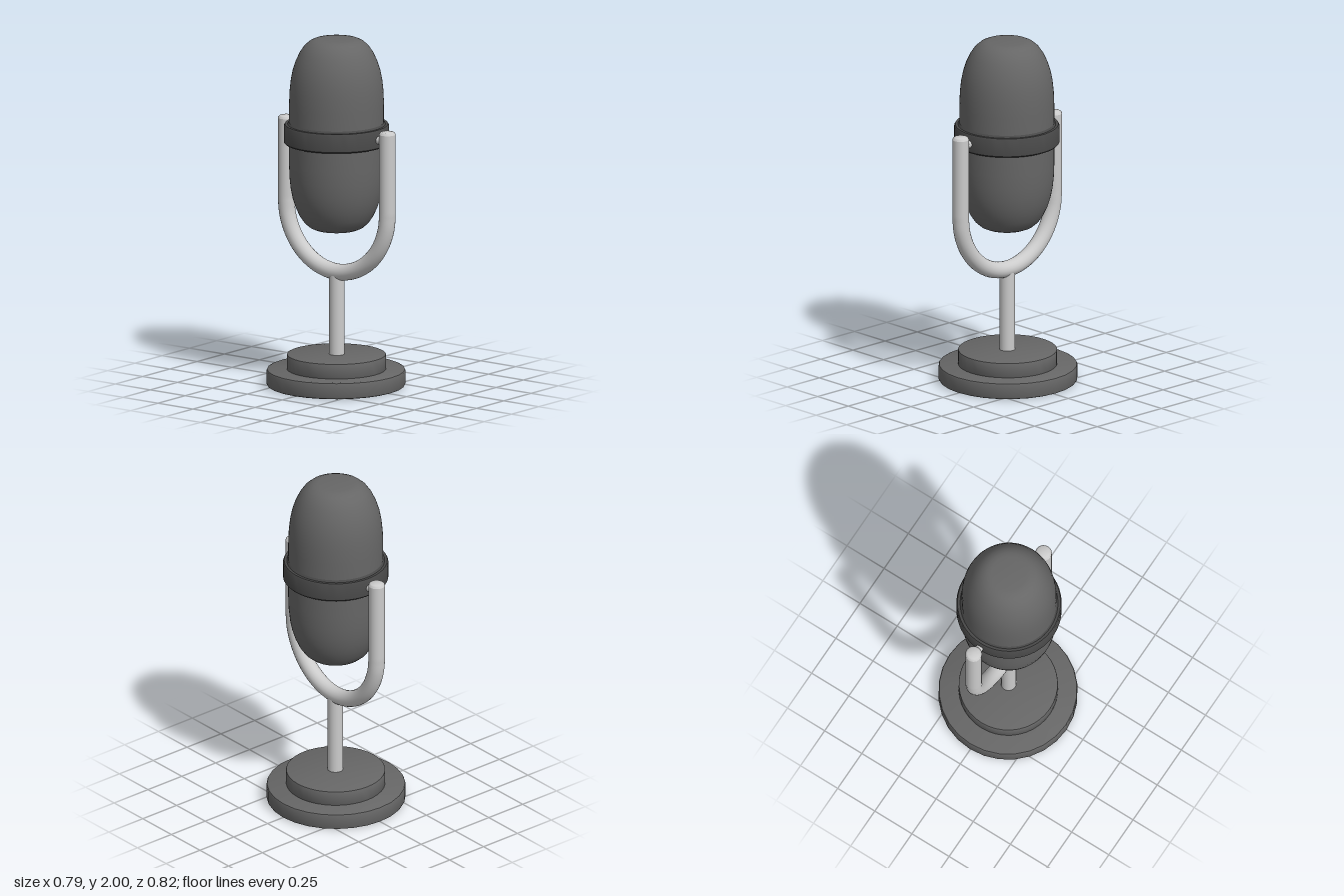
import * as THREE from 'three';
import { toCreasedNormals } from 'three/addons/utils/BufferGeometryUtils.js';

const grey = new THREE.MeshStandardMaterial({ color: 0xcccccc });
const dark = new THREE.MeshStandardMaterial({ color: 0x666666 });
const darker = new THREE.MeshStandardMaterial({ color: 0x484848 });

function add(group, name, geometry, material) {
  const mesh = new THREE.Mesh(geometry, material);
  mesh.name = name;
  group.add(mesh);
  return mesh;
}

// Turned part from [radius, y] pairs listed bottom to top
function turned(points, sides, crease = 0.6) {
  const lathe = new THREE.LatheGeometry(points.map(([r, y]) => new THREE.Vector2(r, y)), sides);
  return toCreasedNormals(lathe, crease);
}

// Disc or rod with a small bevel on both rims
function bevelled(radius, y0, y1, bevel, sides) {
  return turned([[0, y0], [radius - bevel, y0], [radius - bevel * 0.3, y0 + bevel * 0.3], [radius, y0 + bevel],
    [radius, y1 - bevel], [radius - bevel * 0.3, y1 - bevel * 0.3], [radius - bevel, y1], [0, y1]], sides);
}

export function createModel() {
  const model = new THREE.Group();
  model.name = 'microphone';

  // Two-step base and stem
  add(model, 'basePlate', bevelled(0.393, 0, 0.095, 0.012, 28), dark).position.z = -0.006;
  add(model, 'baseStep', bevelled(0.28, 0.09, 0.18, 0.005, 40), dark).position.z = -0.003;
  add(model, 'stem', new THREE.CylinderGeometry(0.044, 0.044, 0.48, 24).translate(0, 0.4, 0), grey);

  // U-shaped yoke: straight arms joined by a half-round bend
  const armZ = 0.362, bendY = 1.03, topY = 1.495, tube = 0.047;
  const path = new THREE.CurvePath();
  const bend = [];
  for (let i = 0; i <= 16; i++) {
    const a = (i / 16) * Math.PI;
    bend.push(new THREE.Vector3(0, bendY - 0.376 * Math.sin(a), armZ * Math.cos(a)));
  }
  path.add(new THREE.LineCurve3(new THREE.Vector3(0, topY, armZ), bend[0]));
  path.add(new THREE.CatmullRomCurve3(bend));
  path.add(new THREE.LineCurve3(bend[16], new THREE.Vector3(0, topY, -armZ)));
  add(model, 'yoke', new THREE.TubeGeometry(path, 80, tube, 20), grey);

  // Rounded arm tips and pivot pins
  for (const side of [1, -1]) {
    const tip = turned([[tube, 0], [tube * 0.93, 0.009], [tube * 0.75, 0.015], [0, 0.016]], 20, 1);
    add(model, 'yokeTip', tip, grey).position.set(0, topY, side * armZ);
    const pin = new THREE.CylinderGeometry(0.022, 0.022, 0.11, 16).rotateX(Math.PI / 2);
    add(model, 'pivotPin', pin, grey).position.set(0, 1.453, side * 0.305);
  }

  // Capsule body with softly domed ends
  const dome = [[0.1, 0], [0.125, 0.004], [0.152, 0.016], [0.182, 0.042], [0.208, 0.08],
    [0.231, 0.13], [0.247, 0.18], [0.258, 0.235], [0.265, 0.3], [0.268, 0.38]];
  const profile = [[0, 0.9], ...dome.map(([r, h]) => [r, 0.9 + h]), [0.268, 1.4], [0.268, 1.51],
    ...dome.map(([r, h]) => [r, 2 - h]).reverse(), [0, 2]];
  add(model, 'capsule', turned(profile, 64, 1), dark).position.x = -0.003;

  // Band around the capsule
  const band = [[0.26, 1.4], [0.291, 1.4], [0.297, 1.407], [0.297, 1.5], [0.291, 1.51], [0.276, 1.51], [0.262, 1.53]];
  add(model, 'band', turned(band, 64), darker).position.x = -0.003;

  return model;
}
